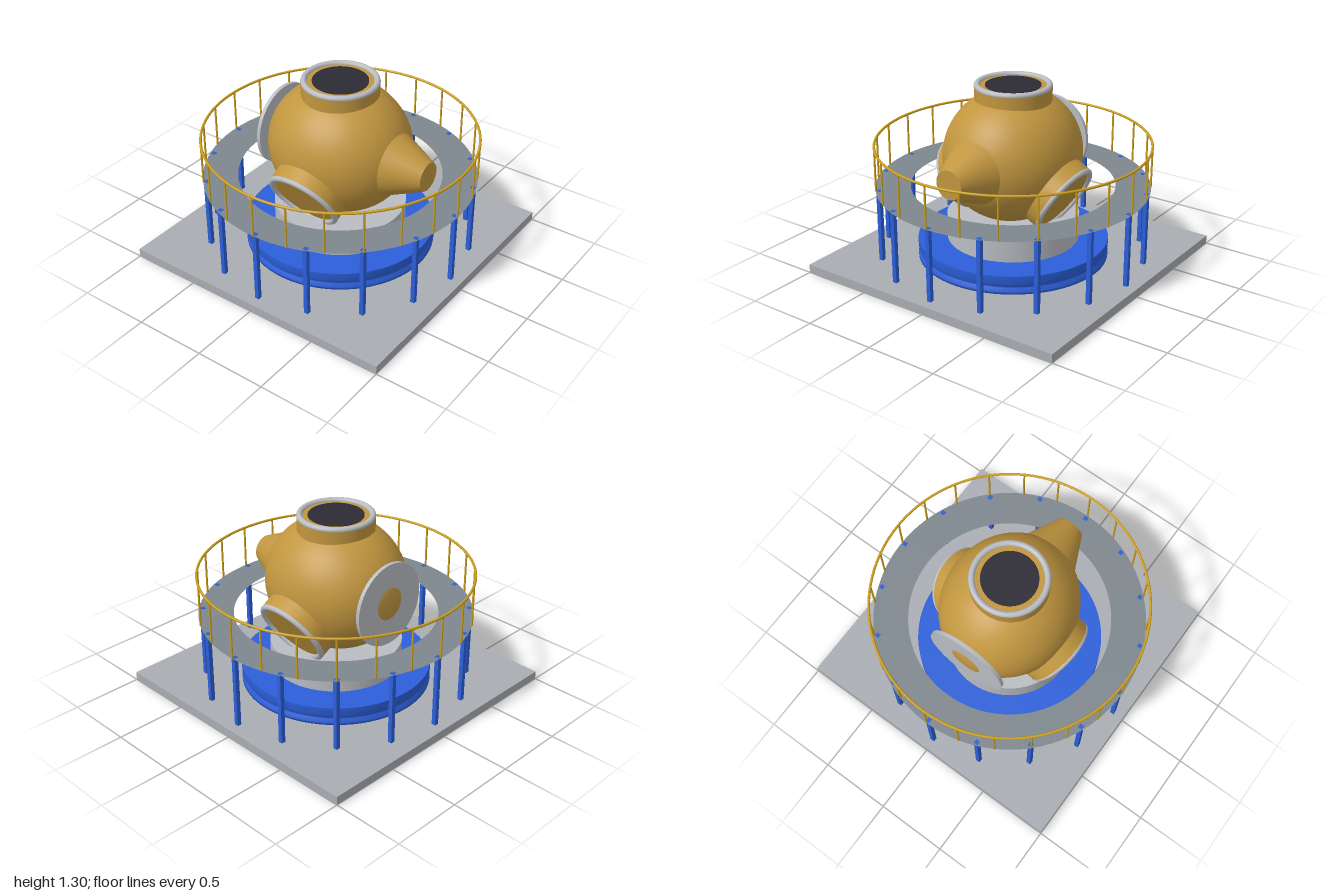
import * as THREE from 'three';

const mat = (name, color, extra = {}) =>
  Object.assign(new THREE.MeshStandardMaterial({ color, ...extra }), { name });

export function createModel() {
  const model = new THREE.Group();
  model.name = 'vesselOnStand';

  const concrete = mat('concrete grey', 0xa9adb3);
  const steel = mat('light steel', 0xb9bdc2);
  const deckGrey = mat('deck grey', 0x7e878e, { side: THREE.DoubleSide });
  const blue = mat('blue paint', 0x2b5fd9);
  const gold = mat('vessel gold', 0xc1963f);
  const yellow = mat('rail yellow', 0xcc9f1c);
  const dark = mat('dark opening', 0x2c2b35);

  const add = (parent, name, geometry, material, x = 0, y = 0, z = 0) => {
    const mesh = new THREE.Mesh(geometry, material);
    mesh.name = name;
    mesh.position.set(x, y, z);
    parent.add(mesh);
    return mesh;
  };
  const cyl = (rTop, rBottom, h, seg = 64) => new THREE.CylinderGeometry(rTop, rBottom, h, seg);

  // Ground slab
  add(model, 'baseSlab', new THREE.BoxGeometry(2, 0.06, 2), concrete, 0, 0.03, 0);

  // Blue plinth with a shallow groove around its side
  const plinth = [[0, 0.06], [0.66, 0.06], [0.66, 0.08], [0.645, 0.1], [0.645, 0.11],
    [0.66, 0.135], [0.66, 0.19], [0.66, 0.19], [0, 0.19]];
  add(model, 'plinth', new THREE.LatheGeometry(plinth.map(p => new THREE.Vector2(...p)), 72), blue);

  // Steel drum carrying the vessel
  add(model, 'supportDrum', cyl(0.457, 0.457, 0.17), steel, 0, 0.275, 0);

  // Rounded vessel body, slightly longer from side to side
  const cy = 0.795;
  const vessel = new THREE.Group();
  vessel.name = 'vessel';
  vessel.position.y = cy;
  model.add(vessel);
  const body = new THREE.SphereGeometry(1, 64, 40);
  body.scale(0.508, 0.46, 0.46);
  add(vessel, 'body', body, gold);

  // Port: a short neck with a steel rim, built along +y
  const addPort = (name, length, tilt) => {
    const port = new THREE.Group();
    port.name = name;
    port.rotation.x = tilt;
    vessel.add(port);
    add(port, 'neck', cyl(0.262, 0.262, length - 0.2), gold, 0, (length + 0.2) / 2, 0);
    const rim = new THREE.TorusGeometry(0.243, 0.021, 12, 64);
    rim.rotateX(Math.PI / 2);
    add(port, 'rim', rim, steel, 0, length, 0);
    return port;
  };
  const top = addPort('topPort', 0.48, 0);
  add(top, 'opening', cyl(0.188, 0.188, 0.008), dark, 0, 0.481, 0);
  addPort('frontPort', 0.48, THREE.MathUtils.degToRad(120));
  addPort('backPort', 0.48, THREE.MathUtils.degToRad(-120));

  // Tapered nozzle on the left, flat flange on the right
  const nozzle = cyl(0.1, 0.238, 0.3);
  nozzle.rotateZ(-Math.PI / 2);
  add(vessel, 'nozzle', nozzle, gold, 0.552, -0.003, 0);
  const flange = cyl(0.29, 0.29, 0.026);
  flange.rotateZ(Math.PI / 2);
  add(vessel, 'sideFlange', flange, steel, -0.479, -0.005, 0);

  // Ring walkway on blue columns
  const deckY = 0.575;
  const deck = new THREE.RingGeometry(0.7, 0.94, 96);
  deck.rotateX(-Math.PI / 2);
  add(model, 'walkway', deck, deckGrey, 0, deckY, 0);
  const ring = (count, radius, place) => {
    for (let i = 0; i < count; i++) {
      const a = (i / count) * Math.PI * 2;
      place(Math.sin(a) * radius, Math.cos(a) * radius);
    }
  };
  const columnGeo = new THREE.BoxGeometry(0.03, 0.517, 0.03);
  ring(16, 0.915, (x, z) => add(model, 'column', columnGeo, blue, x, 0.3185, z));

  // Guard rail
  const postGeo = cyl(0.007, 0.007, 0.305, 8);
  ring(24, 0.937, (x, z) => add(model, 'railPost', postGeo, yellow, x, deckY + 0.1525, z));
  const rail = new THREE.TorusGeometry(0.937, 0.009, 8, 96);
  rail.rotateX(Math.PI / 2);
  add(model, 'handRail', rail, yellow, 0, 0.876, 0);

  return model;
}
